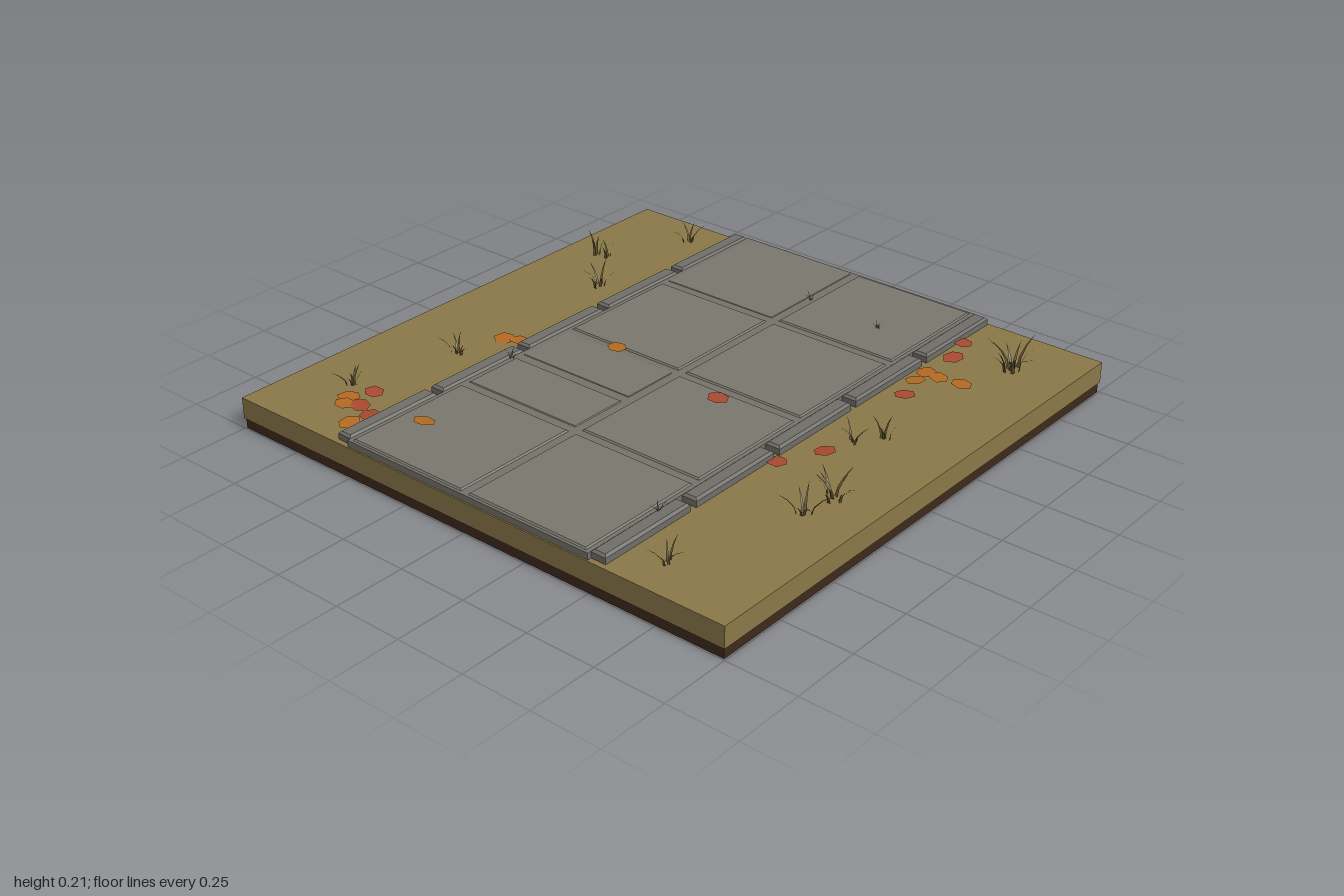
import * as THREE from 'three';
import { mergeGeometries } from 'three/addons/utils/BufferGeometryUtils.js';

const mat = (name, color, side = THREE.FrontSide) => {
  const m = new THREE.MeshStandardMaterial({ color, side });
  m.name = name;
  return m;
};

// Small seeded random generator for blade and leaf variation
let seed = 7;
const rand = (a = 0, b = 1) => {
  seed = (seed * 16807) % 2147483647;
  return a + (b - a) * (seed / 2147483647);
};

// Block from corner (x0, z0) to (x1, z1) with a chamfer around its top
function chamferedBlock(x0, x1, z0, z1, y0, y1, c) {
  const s = new THREE.Shape();
  s.moveTo(x0 + c, -z1 + c);
  s.lineTo(x1 - c, -z1 + c);
  s.lineTo(x1 - c, -z0 - c);
  s.lineTo(x0 + c, -z0 - c);
  s.closePath();
  return new THREE.ExtrudeGeometry(s, {
    depth: y1 - y0 - 2 * c, bevelEnabled: true, bevelSize: c, bevelThickness: c, bevelSegments: 1,
  }).rotateX(-Math.PI / 2).translate(0, y0 + c, 0);
}

// One tapered blade, bending outward as it rises
function blade(height, lean, width, turn) {
  const pos = [], idx = [];
  const rows = 3;
  for (let i = 0; i <= rows; i++) {
    const t = i / rows;
    const w = width * (1 - t) * (0.7 + 0.6 * t) * 0.5;
    const y = height * (t - 0.15 * t * t) / 0.85, z = lean * t * t;
    pos.push(-w, y, z, w, y, z);
    if (i < rows) {
      const k = 2 * i;
      idx.push(k, k + 1, k + 2, k + 1, k + 3, k + 2);
    }
  }
  const g = new THREE.BufferGeometry();
  g.setAttribute('position', new THREE.Float32BufferAttribute(pos, 3));
  g.setIndex(idx);
  g.computeVertexNormals();
  return g.rotateY(turn);
}

function tuft(count, height, spread) {
  const blades = [];
  for (let i = 0; i < count; i++) {
    const turn = (i / count) * Math.PI * 2 + rand(-0.5, 0.5);
    const r = rand(0, spread * 0.4);
    blades.push(blade(height * rand(0.6, 1), spread * rand(0.5, 1), height * 0.17, turn)
      .translate(Math.sin(turn) * r, 0, Math.cos(turn) * r));
  }
  return mergeGeometries(blades);
}

// Flat pointed leaf, slightly folded along its middle
function leafGeometry() {
  const s = new THREE.Shape();
  [[0, -0.045], [0.03, -0.02], [0.028, 0.018], [0, 0.038], [-0.028, 0.018], [-0.03, -0.02]]
    .forEach(([x, y], i) => (i ? s.lineTo(x, y) : s.moveTo(x, y)));
  return new THREE.ShapeGeometry(s).rotateX(-Math.PI / 2);
}

export function createModel() {
  const group = new THREE.Group();
  const soil = mat('dark soil', 0x3d2a1c);
  const turf = mat('dry turf', 0x8a7848);
  const mortar = mat('path bed grey', 0x75736b);
  const stone = mat('slab grey', 0x7a776e);
  const kerb = mat('kerb grey', 0x6f6e69);
  const grass = mat('grass olive', 0x655730, THREE.DoubleSide);
  const orange = mat('leaf orange', 0xb36a22, THREE.DoubleSide);
  const red = mat('leaf red', 0xa84a30, THREE.DoubleSide);

  const add = (name, geometry, material, x = 0, y = 0, z = 0) => {
    const m = new THREE.Mesh(geometry, material);
    m.name = name;
    m.position.set(x, y, z);
    group.add(m);
    return m;
  };

  // Ground layers
  add('soilLayer', new THREE.BoxGeometry(1.99, 0.04, 1.99), soil, 0, 0.02, 0);
  add('turfLayer', new THREE.BoxGeometry(2, 0.075, 2), turf, 0, 0.0745, 0);

  // Path bed and paving slabs: x0, x1, z0, z1, top
  add('pathBed', new THREE.BoxGeometry(1, 0.03, 1.99), mortar, 0, 0.12, 0);
  const slabs = [
    [-0.485, -0.015, -0.985, -0.515, 0.137],
    [-0.485, -0.015, 0.01, 0.232, 0.137],
    [-0.485, -0.015, 0.262, 0.485, 0.138],
  ];
  for (const z of [-0.985, -0.485, 0.015, 0.515]) {
    slabs.push([0.015, 0.485, z, z + 0.47, 0.14]);
    if (Math.abs(z) > 0.1 && z > -0.9) slabs.push([-0.485, -0.015, z, z + 0.47, 0.14]);
  }
  for (const [x0, x1, z0, z1, top] of slabs) {
    add('pavingSlab', chamferedBlock(x0, x1, z0, z1, 0.112, top, 0.005), stone);
  }

  // Kerb stones along both edges
  for (const side of [-1, 1]) {
    for (let i = 0; i < 5; i++) {
      const z = -0.99 + i * 0.4;
      add('kerbStone', chamferedBlock(side * 0.528 - 0.028, side * 0.528 + 0.028, z, z + 0.372, 0.105, 0.142, 0.008), kerb);
    }
  }

  // Grass tufts: x, z, blade count, height, spread
  const tufts = [
    [-0.68, -0.87, 6, 0.075, 0.06], [-0.87, -0.56, 4, 0.095, 0.04], [-0.82, -0.57, 3, 0.09, 0.04],
    [-0.68, -0.37, 6, 0.08, 0.08], [-0.69, 0.33, 6, 0.075, 0.055], [-0.79, 0.71, 6, 0.075, 0.055],
    [0.80, -0.76, 12, 0.1, 0.085], [0.74, -0.11, 4, 0.08, 0.05], [0.68, -0.03, 5, 0.065, 0.055],
    [0.83, 0.28, 10, 0.09, 0.085], [0.82, 0.41, 6, 0.08, 0.075], [0.68, 0.86, 6, 0.065, 0.055],
  ];
  for (const [x, z, n, h, s] of tufts) add('grassTuft', tuft(n, h, s), grass, x, 0.111, z);

  // Weeds growing through the joints
  for (const [x, z, s] of [[0, -0.72, 0.03], [0.31, -0.68, 0.02], [-0.5, 0.27, 0.04], [0.51, 0.7, 0.03]]) {
    add('jointWeed', tuft(5, 0.032, s), grass, x, 0.136, z);
  }

  // Fallen leaves: x, z, height
  const leaf = leafGeometry();
  const scatter = (list, material) => {
    for (const [x, z, y = 0.118] of list) {
      const m = add('fallenLeaf', leaf, material, x, y + rand(0, 0.004), z);
      m.rotation.set(rand(-0.1, 0.1), rand(0, 6.28), rand(-0.1, 0.1));
    }
  };
  scatter([
    [0.575, -0.81], [0.61, -0.70], [0.63, -0.38], [0.65, 0.08], [0.575, 0.22],
    [0.22, 0.065, 0.146], [-0.69, 0.71], [-0.655, 0.8], [-0.59, 0.82],
  ], red);
  scatter([
    [0.6, -0.55], [0.65, -0.55], [0.73, -0.56], [0.6, -0.49], [-0.585, 0.14], [-0.635, 0.16],
    [-0.26, 0.01, 0.146], [-0.39, 0.77, 0.146], [-0.73, 0.78], [-0.71, 0.82], [-0.6, 0.9],
  ], orange);

  return group;
}
